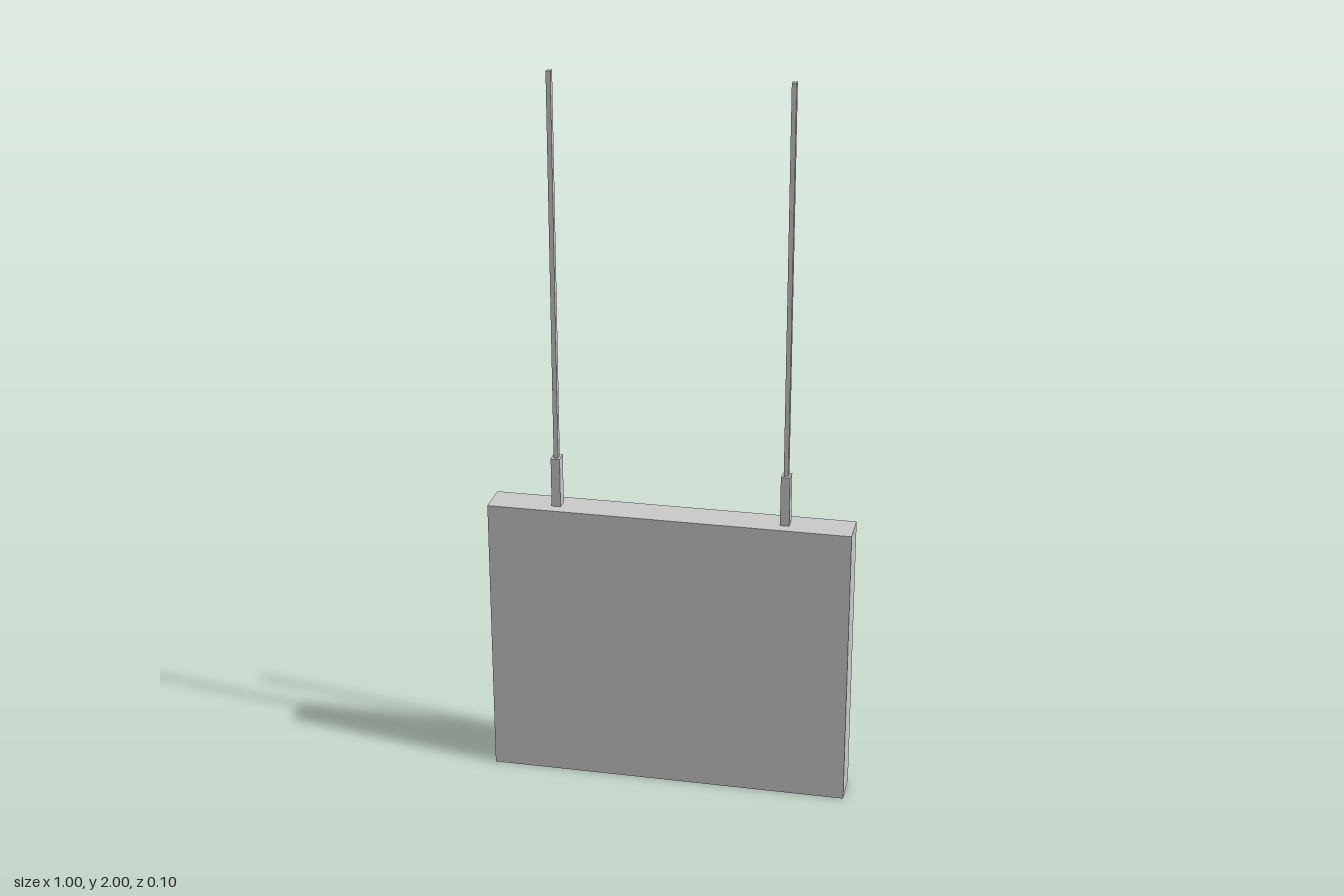
import * as THREE from 'three';

const material = new THREE.MeshStandardMaterial({ color: 0xcccccc, flatShading: true });

// Box resting on height y
function box(name, w, h, d, x, y) {
  const mesh = new THREE.Mesh(new THREE.BoxGeometry(w, h, d), material);
  mesh.name = name;
  mesh.position.set(x, y + h / 2, 0);
  return mesh;
}

export function createModel() {
  const model = new THREE.Group();
  model.name = 'hangingSign';

  // Sign board
  model.add(box('signPanel', 1, 0.8, 0.1, 0, 0));

  // A socket and a thin hanging rod on each side
  for (const [side, s] of [['left', 1], ['right', -1]]) {
    const hanger = new THREE.Group();
    hanger.name = side + 'Hanger';
    hanger.add(box(side + 'Socket', 0.025, 0.14, 0.035, s * 0.315, 0.8));
    hanger.add(box(side + 'Rod', 0.0125, 1.06, 0.0175, s * 0.315, 0.94));
    model.add(hanger);
  }
  return model;
}
